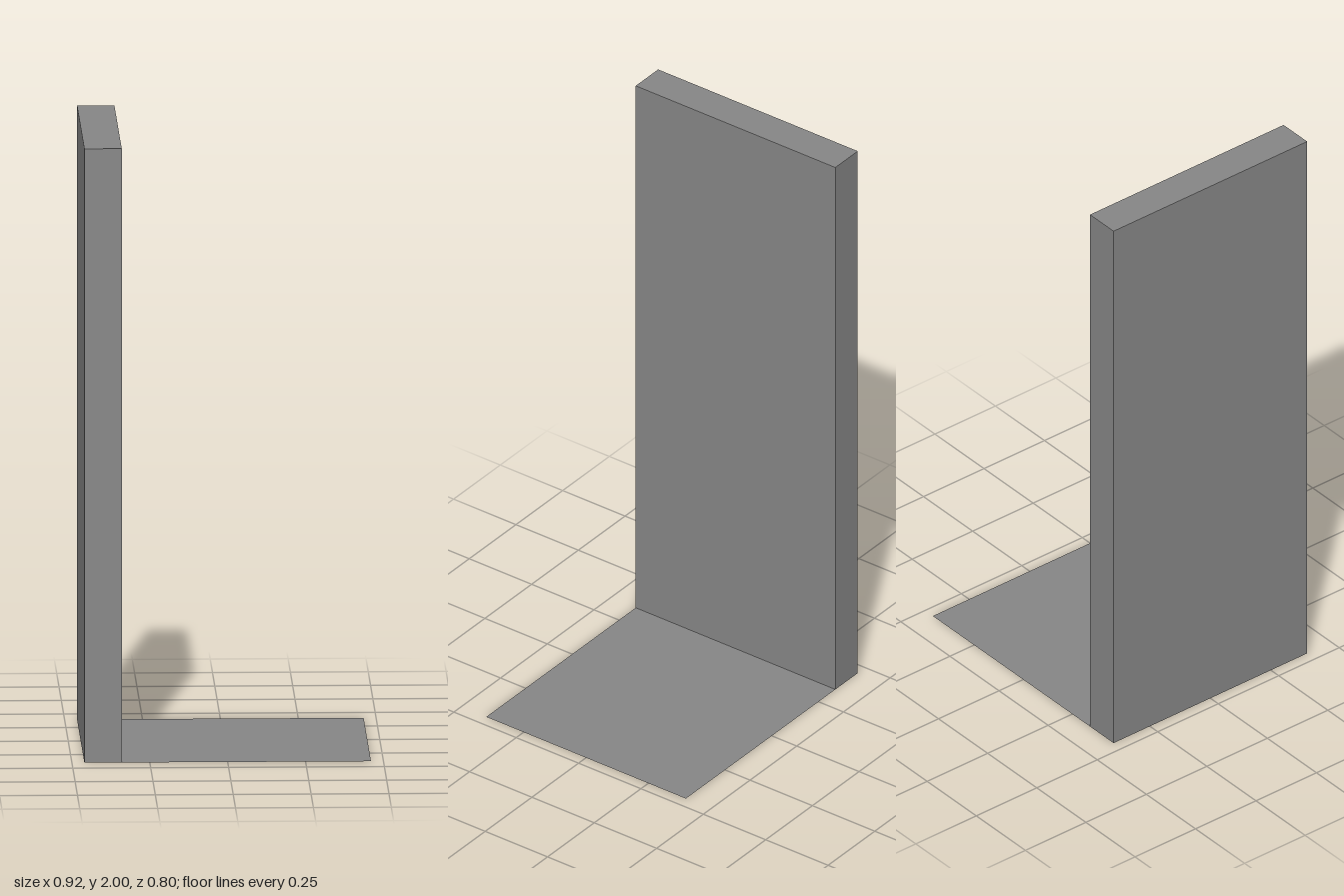
import * as THREE from 'three';

const WIDTH = 0.92, DEPTH = 0.8, HEIGHT = 2, THICKNESS = 0.12;
const GREY = 0x878787;

export function createModel() {
  const group = new THREE.Group();
  group.name = 'wallAndFloor';

  // Upright slab along the -x edge
  const wall = new THREE.Mesh(
    new THREE.BoxGeometry(THICKNESS, HEIGHT, DEPTH),
    new THREE.MeshStandardMaterial({ color: GREY })
  );
  wall.name = 'wall';
  wall.position.set(-WIDTH / 2 + THICKNESS / 2, HEIGHT / 2, 0);
  group.add(wall);

  // Paper-thin floor reaching from the foot of the wall to the +x edge
  const floor = new THREE.Mesh(
    new THREE.PlaneGeometry(WIDTH - THICKNESS, DEPTH).rotateX(-Math.PI / 2),
    new THREE.MeshStandardMaterial({ color: GREY, side: THREE.DoubleSide })
  );
  floor.name = 'floor';
  floor.position.x = THICKNESS / 2;
  group.add(floor);

  return group;
}
